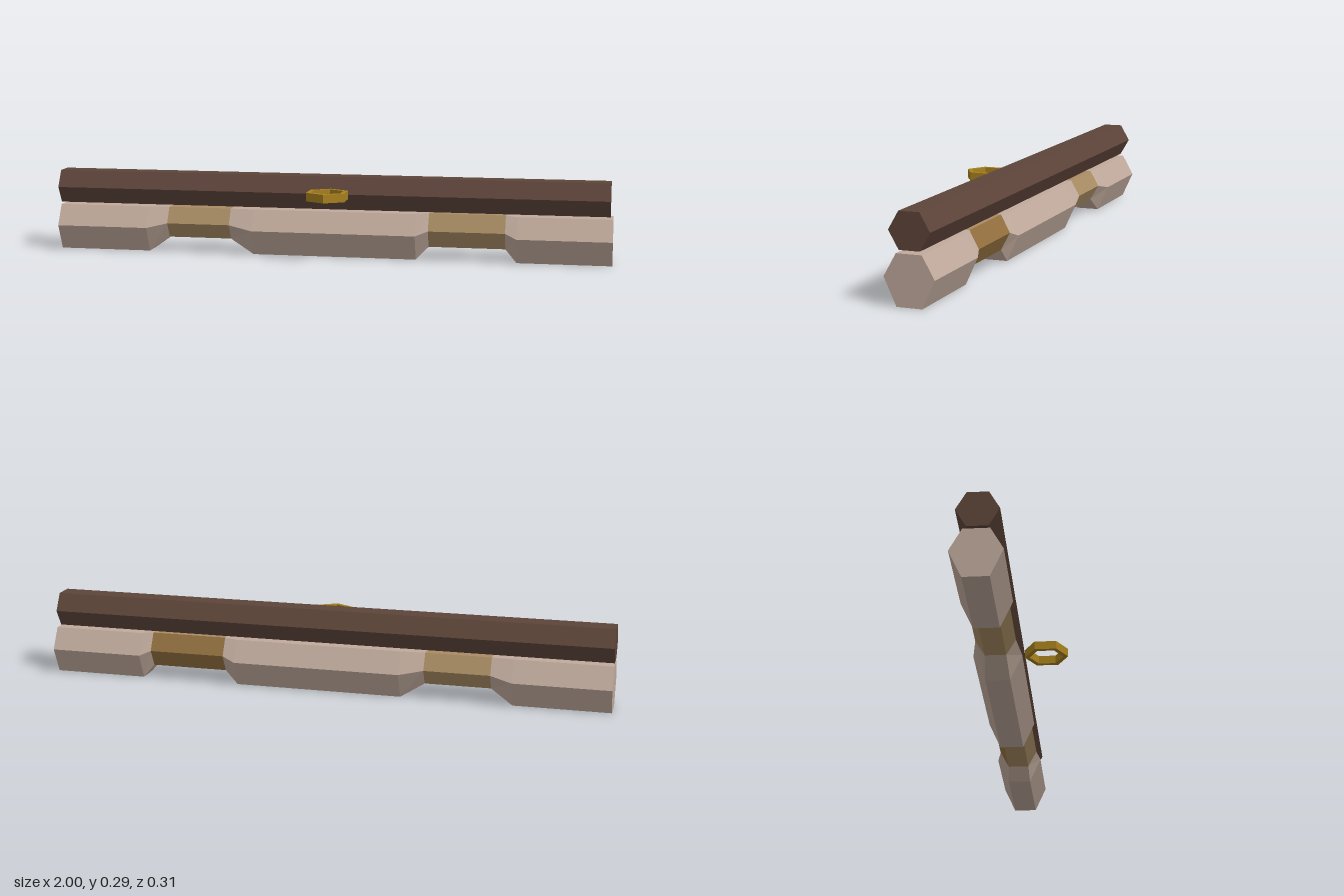
import * as THREE from 'three';

const mat = (name, color) => {
  const m = new THREE.MeshStandardMaterial({ color, flatShading: true });
  m.name = name;
  return m;
};

// Six-sided cross-section, from the front corner over the top to the back.
const Z = -0.07;
const section = (x, bottom, mid, top, half, flat) => [
  [x, mid, Z + half], [x, top, Z + flat], [x, top, Z - flat],
  [x, mid, Z - half], [x, bottom, Z - flat], [x, bottom, Z - flat + 2 * flat],
];

// Skin between sections; sides picks the faces, caps closes the two ends.
function loft(sections, sides = [0, 1, 2, 3, 4, 5], capStart = false, capEnd = false) {
  const pos = [];
  for (let i = 0; i < sections.length - 1; i++) {
    for (const j of sides) {
      const k = (j + 1) % 6;
      const a = sections[i][j], b = sections[i + 1][j];
      const c = sections[i + 1][k], d = sections[i][k];
      pos.push(...a, ...b, ...c, ...c, ...d, ...a);
    }
  }
  const first = sections[0], last = sections[sections.length - 1];
  for (let j = 1; j < 5; j++) {
    if (capStart) pos.push(...first[0], ...first[j], ...first[j + 1]);
    if (capEnd) pos.push(...last[0], ...last[j + 1], ...last[j]);
  }
  const g = new THREE.BufferGeometry();
  g.setAttribute('position', new THREE.Float32BufferAttribute(pos, 3));
  g.computeVertexNormals();
  return g;
}

export function createModel() {
  const model = new THREE.Group();
  model.name = 'rolledBanner';
  const wood = mat('dark wood', 0x5d4439);
  const cloth = mat('pale cloth', 0xc0aa9c);
  const strap = mat('tan strap', 0xa98c64);
  const strapDark = mat('brown strap', 0x93703f);
  const gold = mat('old gold', 0xa9821f);

  const add = (name, geometry, material) => {
    const mesh = new THREE.Mesh(geometry, material);
    mesh.name = name;
    model.add(mesh);
    return mesh;
  };

  // Hexagonal pole along x
  const pole = add('pole', new THREE.CylinderGeometry(0.068, 0.068, 1.99, 6), wood);
  pole.geometry.rotateY(Math.PI / 6 * 3 - Math.PI / 2).rotateZ(Math.PI / 2);
  pole.position.set(-0.005, 0.23, -0.067);

  // Cloth roll, pinched where the straps hold it
  const full = (x) => section(x, 0, 0.09, 0.163, 0.083, 0.042);
  const pinchA = (x) => section(x, 0.053, 0.107, 0.163, 0.068, 0.036);
  const pinchB = (x) => section(x, 0.047, 0.107, 0.167, 0.07, 0.038);
  const all = [0, 1, 2, 3, 4, 5];
  add('rollRightEnd', loft([full(-1), full(-0.665), pinchA(-0.59)], all, true, false), cloth);
  add('rollMiddle', loft([pinchA(-0.36), full(-0.275), full(0.315), pinchB(0.36)]), cloth);
  add('rollLeftEnd', loft([pinchB(0.63), full(0.67), full(1)], all, false, true), cloth);

  // Straps
  add('rightStrap', loft([pinchA(-0.59), pinchA(-0.36)]), strap);
  const leftSpan = [pinchB(0.36), pinchB(0.63)];
  add('leftStrap', loft(leftSpan, [0, 1, 4, 5]), strap);
  add('leftStrapBack', loft(leftSpan, [2, 3]), strapDark);

  // Hanging ring: a flat six-sided band lying level
  const hex = (r) => Array.from({ length: 6 }, (_, i) => {
    const t = i * Math.PI / 3 + Math.PI / 2;
    return new THREE.Vector2(r * Math.cos(t), r * Math.sin(t));
  });
  const shape = new THREE.Shape(hex(0.0775));
  shape.holes.push(new THREE.Path(hex(0.06)));
  const ringGeo = new THREE.ExtrudeGeometry(shape, { depth: 0.03, bevelEnabled: false });
  ringGeo.rotateX(-Math.PI / 2);
  const ring = add('ring', ringGeo, gold);
  ring.position.set(0.015, 0.22, 0.0775);

  return model;
}
